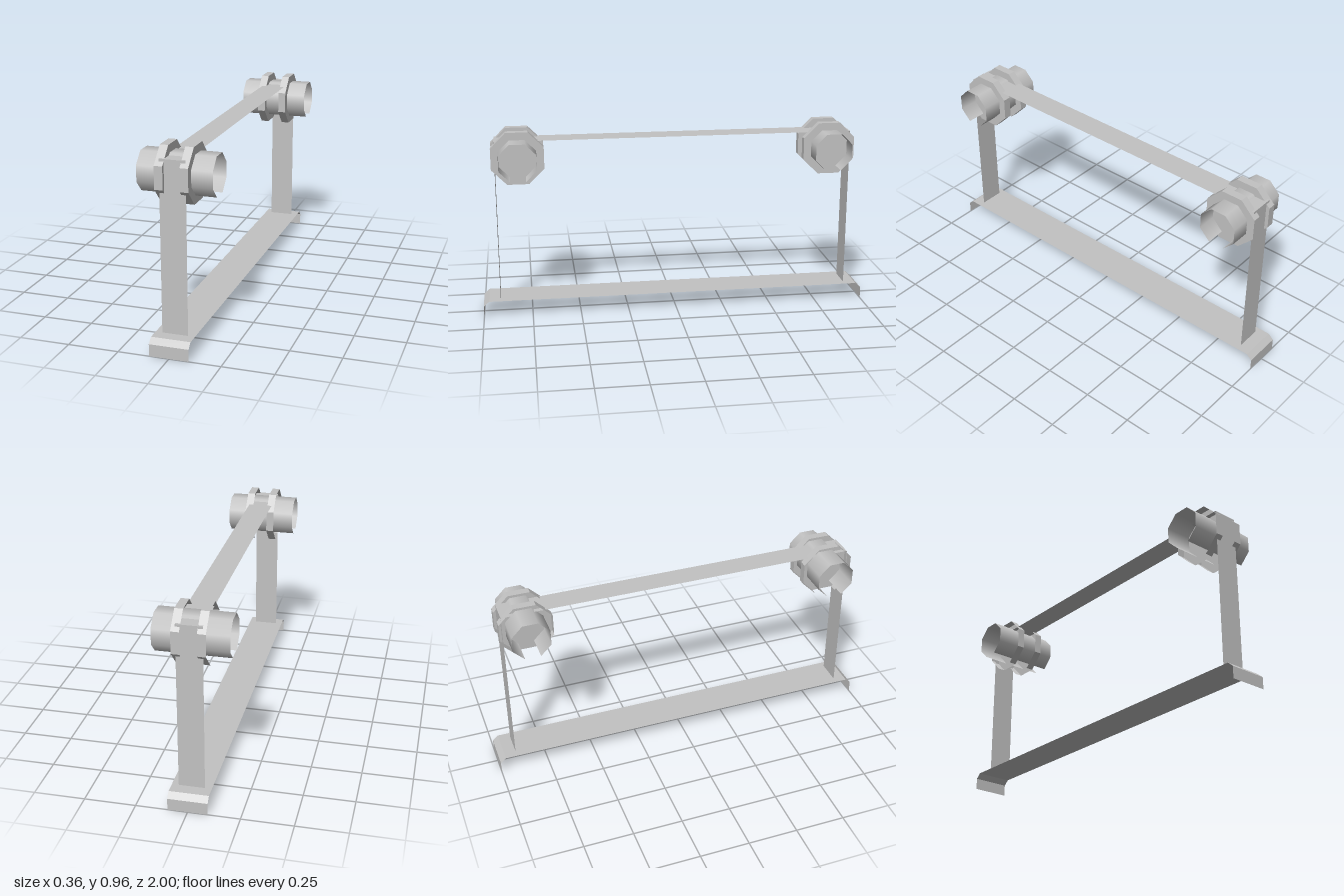
import * as THREE from 'three';

const metal = new THREE.MeshStandardMaterial({ color: 0xc2c2c2, side: THREE.DoubleSide });
metal.name = 'grey metal';

const AXLE_Y = 0.831, AXLE_Z = 0.798;

function add(parent, name, geometry, x = 0, y = 0, z = 0) {
  const mesh = new THREE.Mesh(geometry, metal);
  mesh.name = name;
  mesh.position.set(x, y, z);
  parent.add(mesh);
  return mesh;
}

// Folded sheet: a path of [y, z] points swept across x, one flat face per segment
function sheet(path, halfWidth) {
  const pos = [];
  for (let i = 0; i < path.length - 1; i++) {
    const [y0, z0] = path[i], [y1, z1] = path[i + 1], w = halfWidth;
    pos.push(-w, y0, z0, -w, y1, z1, w, y1, z1, -w, y0, z0, w, y1, z1, w, y0, z0);
  }
  const g = new THREE.BufferGeometry();
  g.setAttribute('position', new THREE.Float32BufferAttribute(pos, 3));
  g.computeVertexNormals();
  return g;
}

// Eight-sided sleeve along x, flat sides up, left open along its bottom side
function sleeve(apothem, length) {
  const r = apothem / Math.cos(Math.PI / 8);
  const g = new THREE.CylinderGeometry(r, r, length, 7, 1, true, Math.PI * 5 / 8, Math.PI * 7 / 4);
  return g.rotateZ(-Math.PI / 2);
}

// Axle tube with two octagonal flanges
function makeRoller() {
  const roller = new THREE.Group();
  add(roller, 'axleTube', sleeve(0.094, 0.36));
  const rim = sleeve(0.1325, 0.04).toNonIndexed();
  rim.computeVertexNormals();
  const cap = new THREE.CircleGeometry(0.1325 / Math.cos(Math.PI / 8), 8, Math.PI / 8).rotateY(Math.PI / 2);
  for (const x of [-0.06, 0.06]) {
    add(roller, 'flangeRim', rim, x);
    add(roller, 'flangeFace', cap, x + 0.02);
  }
  return roller;
}

export function createModel() {
  const model = new THREE.Group();
  model.name = 'rollerFrame';

  // Base plate with bent-down lips at both ends
  add(model, 'basePlate', sheet([
    [0, 1], [0.06, 1], [0.085, 0.972], [0.085, -0.972], [0.06, -1], [0, -1],
  ], 0.096));

  // Thin strap: two posts and the bar across the top
  add(model, 'topBar', sheet([[0.915, 0.913], [0.915, -0.913]], 0.063));
  for (const s of [1, -1]) {
    const end = s > 0 ? 'front' : 'back';
    add(model, end + 'Post', sheet([[0.085, s * 0.913], [0.915, s * 0.913]], 0.063));
    const roller = makeRoller();
    roller.name = end + 'Roller';
    roller.position.set(0, AXLE_Y, s * AXLE_Z);
    model.add(roller);
  }
  return model;
}
